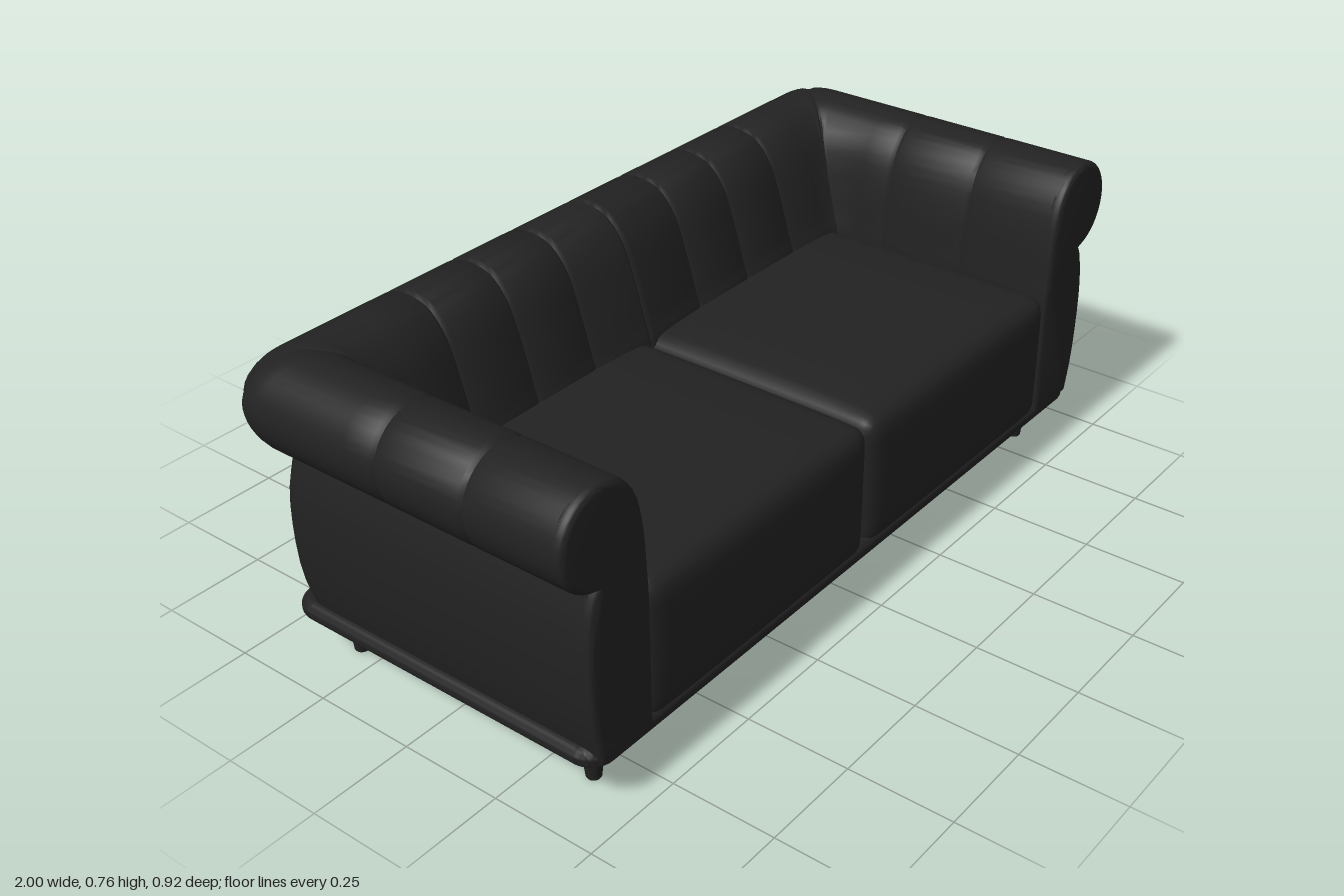
import * as THREE from 'three';
import { mergeVertices, toCreasedNormals } from 'three/addons/utils/BufferGeometryUtils.js';

const charcoal = new THREE.MeshStandardMaterial({ color: 0x222222 });
charcoal.name = 'charcoal';

const v2 = (list) => list.map(([u, y]) => new THREE.Vector2(u, y));

// Roll section: scroll arc over the top, then the padded inner face down to the seat
function rollSection(cu, cy, r, start, inner) {
  const pts = [];
  for (let i = 0; i < 18; i++) {
    const a = THREE.MathUtils.degToRad(start + ((90 - start) * i) / 18);
    pts.push(new THREE.Vector2(cu + r * Math.cos(a), cy + r * Math.sin(a)));
  }
  return pts.concat(new THREE.SplineCurve(v2(inner)).getPoints(20));
}

// Sections as (outward distance from centre, height)
const armRoll = rollSection(0.885, 0.65, 0.115, -80,
  [[0.885, 0.765], [0.83, 0.748], [0.785, 0.69], [0.765, 0.6], [0.757, 0.5], [0.753, 0.42], [0.75, 0.12]]);
const backRoll = rollSection(0.35, 0.65, 0.11, -70,
  [[0.35, 0.76], [0.29, 0.745], [0.24, 0.69], [0.205, 0.6], [0.175, 0.5], [0.157, 0.42], [0.15, 0.12]]);
const armPanel = new THREE.SplineCurve(v2([[0.905, 0.13], [0.925, 0.22], [0.934, 0.34], [0.93, 0.45], [0.908, 0.54], [0.89, 0.58]])).getPoints(12);
const backPanel = new THREE.SplineCurve(v2([[0.39, 0.13], [0.41, 0.22], [0.415, 0.34], [0.411, 0.45], [0.393, 0.54], [0.37, 0.58]])).getPoints(12);

// Push a section inward along its normals, for seams
function inset(section, d) {
  return section.map((p, i) => {
    const a = section[Math.max(i - 1, 0)], b = section[Math.min(i + 1, section.length - 1)];
    const t = b.clone().sub(a).normalize();
    return new THREE.Vector2(p.x - t.y * d, p.y + t.x * d);
  });
}

// Path positions with three stations for each seam: [position, depth]
const withSeams = (plain, seams) => [
  ...plain.map((p) => [p, 0]),
  ...seams.flatMap((s) => [[s - 0.01, 0], [s, 0.006], [s + 0.01, 0]]),
].sort((a, b) => b[0] - a[0]);

// Sweep the sections around the U of arm, back, arm, with rounded outer corners
function sweepU(arm, back, armSeams, backSeams) {
  const armStops = withSeams([0.437, -0.1], armSeams);
  const backStops = withSeams([0.7, -0.7], backSeams);
  const armRows = armStops.map(([z, d]) => inset(arm, d).map((p) => [p.x, p.y, z]));
  const corner = [];
  for (let k = 0; k <= 8; k++) {
    const a = (k / 8) * Math.PI / 2, d = k === 4 ? 0.004 : 0;
    const A = inset(arm, d), B = inset(back, d);
    corner.push(A.map((p, i) => {
      const r = 0.11 * Math.max(0, (arm[i].x - 0.75) / 0.25);
      return [p.x - r * (1 - Math.cos(a)), THREE.MathUtils.lerp(p.y, B[i].y, k / 8), -B[i].x + r * (1 - Math.sin(a))];
    }));
  }
  const backRows = backStops.map(([x, d]) => inset(back, d).map((p) => [x, p.y, -p.x]));
  const half = [...armRows, ...corner];
  const mirrored = half.map((row) => row.map(([x, y, z]) => [-x, y, z])).reverse();
  const rows = [...half, ...backRows, ...mirrored];
  const n = arm.length, index = [];
  for (let s = 0; s < rows.length - 1; s++) {
    for (let i = 0; i < n - 1; i++) {
      const a = s * n + i, b = a + n;
      index.push(a, b, b + 1, a, b + 1, a + 1);
    }
  }
  const geo = new THREE.BufferGeometry();
  geo.setAttribute('position', new THREE.Float32BufferAttribute(rows.flat(2), 3));
  geo.setIndex(index);
  return toCreasedNormals(geo, 0.6);
}

// Soft box with rounded edges and a crowned top
function cushionGeometry(w, h, d, r, crown) {
  const geo = new THREE.BoxGeometry(w, h, d, 36, 16, 30);
  geo.deleteAttribute('uv');
  geo.deleteAttribute('normal');
  const pos = geo.attributes.position, p = new THREE.Vector3(), c = new THREE.Vector3();
  const lim = new THREE.Vector3(w / 2 - r, h / 2 - r, d / 2 - r);
  for (let i = 0; i < pos.count; i++) {
    p.fromBufferAttribute(pos, i);
    c.copy(p).clamp(lim.clone().negate(), lim);
    p.sub(c).setLength(r).add(c);
    const fx = 1 - (2 * p.x / w) ** 4, fz = 1 - (2 * p.z / d) ** 4;
    if (p.y > 0) p.y += crown * fx * fz * (2 * p.y / h);
    if (p.z > 0) p.z += 0.006 * fx * (1 - (2 * Math.min(Math.abs(p.y), h / 2) / h) ** 2);
    pos.setXYZ(i, p.x, p.y, p.z);
  }
  const merged = mergeVertices(geo, 1e-5);
  merged.computeVertexNormals();
  return merged;
}

// Rounded rectangle outline in plan
function roundedRect(w, d, r) {
  const s = new THREE.Shape(), x = w / 2, y = d / 2;
  s.absarc(x - r, y - r, r, 0, Math.PI / 2);
  s.absarc(-x + r, y - r, r, Math.PI / 2, Math.PI);
  s.absarc(-x + r, -y + r, r, Math.PI, Math.PI * 1.5);
  s.absarc(x - r, -y + r, r, Math.PI * 1.5, Math.PI * 2);
  s.closePath();
  return s;
}

export function createModel() {
  const model = new THREE.Group();
  model.name = 'sofa';
  const add = (name, geo, x = 0, y = 0, z = 0) => {
    const mesh = new THREE.Mesh(geo, charcoal);
    mesh.name = name;
    mesh.position.set(x, y, z);
    model.add(mesh);
    return mesh;
  };

  // Upholstered shell
  const channels = [-3, -2, -1, 0, 1, 2, 3].map((i) => i * 0.19);
  add('scrollArmsAndBack', sweepU(armRoll, backRoll, [0.21, -0.02], channels));
  add('outerPanels', sweepU(armPanel, backPanel, [], [0]));

  // Arm fronts
  const frontOutline = [...armPanel.filter((p) => p.y < 0.53), ...armRoll];
  for (const side of [1, -1]) {
    const shape = new THREE.Shape(frontOutline.map((p) => new THREE.Vector2(side * p.x, p.y)));
    const geo = new THREE.ExtrudeGeometry(shape, {
      depth: 0.012, bevelThickness: 0.014, bevelSize: 0.014, bevelOffset: -0.014, bevelSegments: 4,
    });
    add(side > 0 ? 'leftArmFront' : 'rightArmFront', toCreasedNormals(geo, 0.7), 0, 0, 0.43);
  }

  // Seat cushions
  const cushion = cushionGeometry(0.765, 0.335, 0.68, 0.04, 0.022);
  add('leftSeatCushion', cushion, 0.3825, 0.29, 0.113);
  add('rightSeatCushion', cushion, -0.3825, 0.29, 0.113);

  // Base rail
  const rail = new THREE.ExtrudeGeometry(roundedRect(1.86, 0.865, 0.06), {
    depth: 0.005, bevelThickness: 0.02, bevelSize: 0.02, bevelOffset: -0.02, bevelSegments: 6, curveSegments: 10,
  });
  rail.rotateX(-Math.PI / 2);
  add('baseRail', toCreasedNormals(rail, 0.7), 0, 0.129, 0.022);

  // Turned legs
  const legGeo = new THREE.LatheGeometry(v2([
    [0, 0], [0.015, 0], [0.017, 0.003], [0.021, 0.038], [0.026, 0.046], [0.029, 0.056], [0.026, 0.066],
    [0.021, 0.074], [0.029, 0.083], [0.033, 0.094], [0.031, 0.105], [0.028, 0.12],
  ]), 24);
  for (const x of [0.83, -0.83]) {
    for (const z of [0.36, -0.31]) {
      add(`${z > 0 ? 'front' : 'back'}${x > 0 ? 'Left' : 'Right'}Leg`, legGeo, x, 0, z);
    }
  }
  return model;
}
